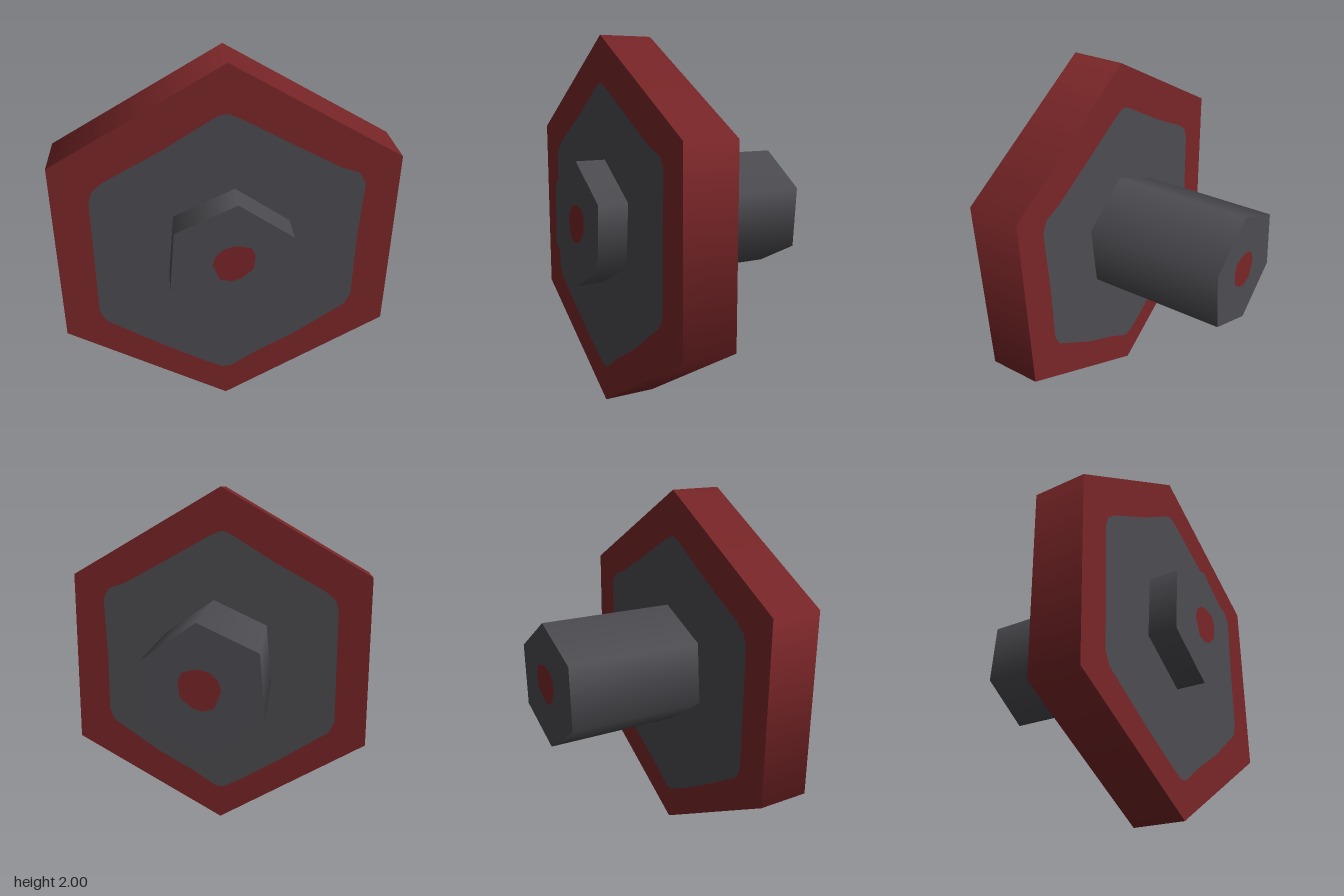
import * as THREE from 'three';

const red = new THREE.MeshStandardMaterial({ color: 0x7a2628 });
red.name = 'dark red';
const grey = new THREE.MeshStandardMaterial({ color: 0x4d4d52 });
grey.name = 'charcoal grey';

// Worn outline of the grey panel on each wheel face
const panelOutline = [
  [0, 1.755], [0.06, 1.73], [0.33, 1.58], [0.57, 1.45], [0.66, 1.42], [0.695, 1.36], [0.68, 1.02],
  [0.68, 0.68], [0.65, 0.61], [0.38, 0.42], [0.17, 0.3], [0.03, 0.205], [-0.02, 0.2], [-0.12, 0.25],
  [-0.36, 0.39], [-0.65, 0.575], [-0.68, 0.64], [-0.68, 1.31], [-0.66, 1.37], [-0.6, 1.42],
  [-0.31, 1.58], [-0.07, 1.73], [-0.03, 1.75],
].map(([x, y]) => [x, y - 1]);

// Irregular spot on each hub end, relative to the hub axis
const spotOutline = [
  [-0.095, 0.005], [-0.08, 0.055], [-0.04, 0.095], [0.02, 0.112], [0.1, 0.095], [0.12, 0.05],
  [0.11, -0.03], [0.05, -0.085], [0, -0.1], [-0.06, -0.085],
];

// Hexagonal prism along z, smooth round the sides
function hexPrism(name, radius, depth, material, spin = 0) {
  const geometry = new THREE.CylinderGeometry(radius, radius, depth, 6);
  geometry.rotateX(Math.PI / 2).rotateZ(spin);
  const mesh = new THREE.Mesh(geometry, material);
  mesh.name = name;
  return mesh;
}

// Flat painted patch just above the front (side 1) or back (side -1) face
function patch(name, outline, z, side, material) {
  const points = outline.map(([x, y]) => new THREE.Vector2(x * side, y));
  const mesh = new THREE.Mesh(new THREE.ShapeGeometry(new THREE.Shape(points)), material);
  mesh.name = name;
  mesh.position.z = side * (z + 0.002);
  if (side < 0) mesh.rotation.y = Math.PI;
  return mesh;
}

export function createModel() {
  const model = new THREE.Group();
  model.name = 'hexWheel';

  // Wide red wheel with a grey panel on both faces
  const wheel = new THREE.Group();
  wheel.name = 'wheel';
  wheel.position.set(0, 1, 0.305);
  wheel.add(hexPrism('wheelRim', 1, 0.29, red));

  // Long grey hub, slightly tilted, with a red spot on both ends
  const hub = new THREE.Group();
  hub.name = 'hub';
  hub.position.set(0.01, 1.02, 0);
  hub.rotation.x = 0.0085;
  hub.add(hexPrism('hubShaft', 0.342, 1.225, grey, -0.087));

  for (const side of [1, -1]) {
    const end = side > 0 ? 'front' : 'back';
    wheel.add(patch(end + 'Panel', panelOutline, 0.145, side, grey));
    hub.add(patch(end + 'Spot', spotOutline, 0.6125, side, red));
  }

  model.add(wheel, hub);
  return model;
}
